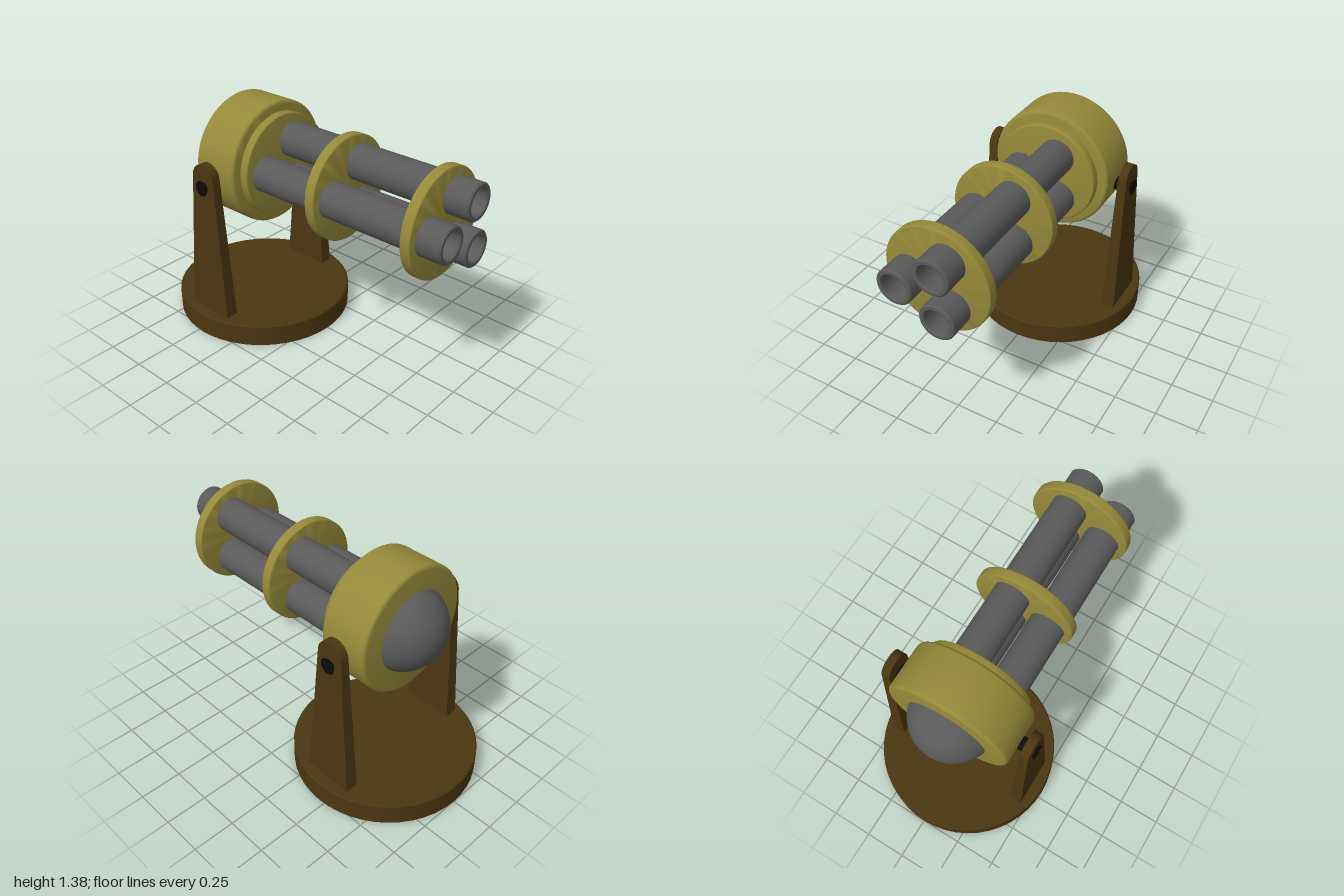
import * as THREE from 'three';
import { toCreasedNormals } from 'three/addons/utils/BufferGeometryUtils.js';

const PIVOT_X = -0.46, AXIS_Y = 1.005;
const material = (color) => new THREE.MeshStandardMaterial({ color });
const yellow = material(0x958939);
const steel = material(0x5a5a5a);
const brown = material(0x4b3610);
const black = material(0x0c0c0c);

// Turned part: points are [radius, distance along the axis]
function turned(points, segments = 48) {
  const profile = points.map(([r, d]) => new THREE.Vector2(r, d));
  return toCreasedNormals(new THREE.LatheGeometry(profile, segments), 0.6);
}

// Solid disc with softened rims, lying along x
function disc(radius, x0, x1, bevel) {
  const pts = [[0, x0]], n = 4;
  for (let i = 0; i <= n; i++) {
    const a = (i / n) * Math.PI / 2;
    pts.push([radius - bevel + bevel * Math.sin(a), x0 + bevel - bevel * Math.cos(a)]);
  }
  for (let i = 0; i <= n; i++) {
    const a = (i / n) * Math.PI / 2;
    pts.push([radius - bevel + bevel * Math.cos(a), x1 - bevel + bevel * Math.sin(a)]);
  }
  pts.push([0, x1]);
  return turned(pts).rotateZ(-Math.PI / 2);
}

function add(parent, name, geometry, mat, x = 0, y = 0, z = 0) {
  const mesh = new THREE.Mesh(geometry, mat);
  mesh.name = name;
  mesh.position.set(x, y, z);
  parent.add(mesh);
  return mesh;
}

// Tapered upright with a rounded top, thinner towards the top
function uprightGeometry() {
  const shape = new THREE.Shape();
  shape.moveTo(-0.153, 0.095);
  shape.lineTo(0.153, 0.095);
  shape.absarc(0, 1.008, 0.082, 0.08, Math.PI - 0.08, false);
  shape.closePath();
  const geo = new THREE.ExtrudeGeometry(shape, { depth: 1, bevelEnabled: false, curveSegments: 16 });
  const p = geo.attributes.position;
  for (let i = 0; i < p.count; i++) {
    const thickness = THREE.MathUtils.mapLinear(p.getY(i), 0.1, 1.09, 0.08, 0.05);
    p.setZ(i, 0.431 + (p.getZ(i) - 0.5) * thickness);
  }
  return toCreasedNormals(geo, 0.5);
}

export function createModel() {
  const model = new THREE.Group();
  model.name = 'rotaryGunTurret';

  // Hollow base, open underneath
  const baseMat = brown.clone();
  baseMat.side = THREE.DoubleSide;
  add(model, 'base', turned([[0.54, 0], [0.54, 0.125], [0.532, 0.133], [0, 0.133]]), baseMat, PIVOT_X);

  // Uprights and trunnion pins on both sides
  const upright = uprightGeometry();
  const pin = turned([[0, 0.3], [0.04, 0.3], [0.04, 0.44], [0.034, 0.455], [0.047, 0.472], [0, 0.472]], 24)
    .rotateX(Math.PI / 2);
  for (const [side, turn] of [['Front', 0], ['Back', Math.PI]]) {
    const support = new THREE.Group();
    support.name = 'support' + side;
    support.position.x = PIVOT_X;
    support.rotation.y = turn;
    add(support, 'upright', upright, brown);
    add(support, 'pivotPin', pin, black, 0, 0.95);
    model.add(support);
  }

  const gun = new THREE.Group();
  gun.name = 'gun';
  gun.position.y = AXIS_Y;
  model.add(gun);

  // Housing, front flange and the two barrel clamps
  add(gun, 'housing', disc(0.37, -0.61, -0.31, 0.02), yellow);
  add(gun, 'flange', disc(0.308, -0.33, -0.26, 0.008), yellow);
  add(gun, 'middleClamp', disc(0.308, 0.174, 0.236, 0.008), yellow);
  add(gun, 'frontClamp', disc(0.308, 0.794, 0.856, 0.008), yellow);

  // Rear dome
  const dome = [];
  for (let i = 0; i <= 14; i++) {
    const a = (i / 14) * 1.3;
    dome.push([0.25 * Math.sin(a), -0.53 - 0.255 * Math.cos(a)]);
  }
  add(gun, 'rearDome', turned(dome).rotateZ(-Math.PI / 2), steel);

  // Three hollow barrels around the axis
  const barrel = turned([
    [0.105, -0.28], [0.105, 0.992], [0.098, 1], [0.08, 1], [0.075, 0.994], [0.075, -0.28],
  ], 36).rotateZ(-Math.PI / 2);
  for (let i = 0; i < 3; i++) {
    const a = (i * 2 * Math.PI) / 3 - 0.06;
    add(gun, 'barrel' + (i + 1), barrel, steel, 0, 0.156 * Math.sin(a), 0.156 * Math.cos(a));
  }
  return model;
}
